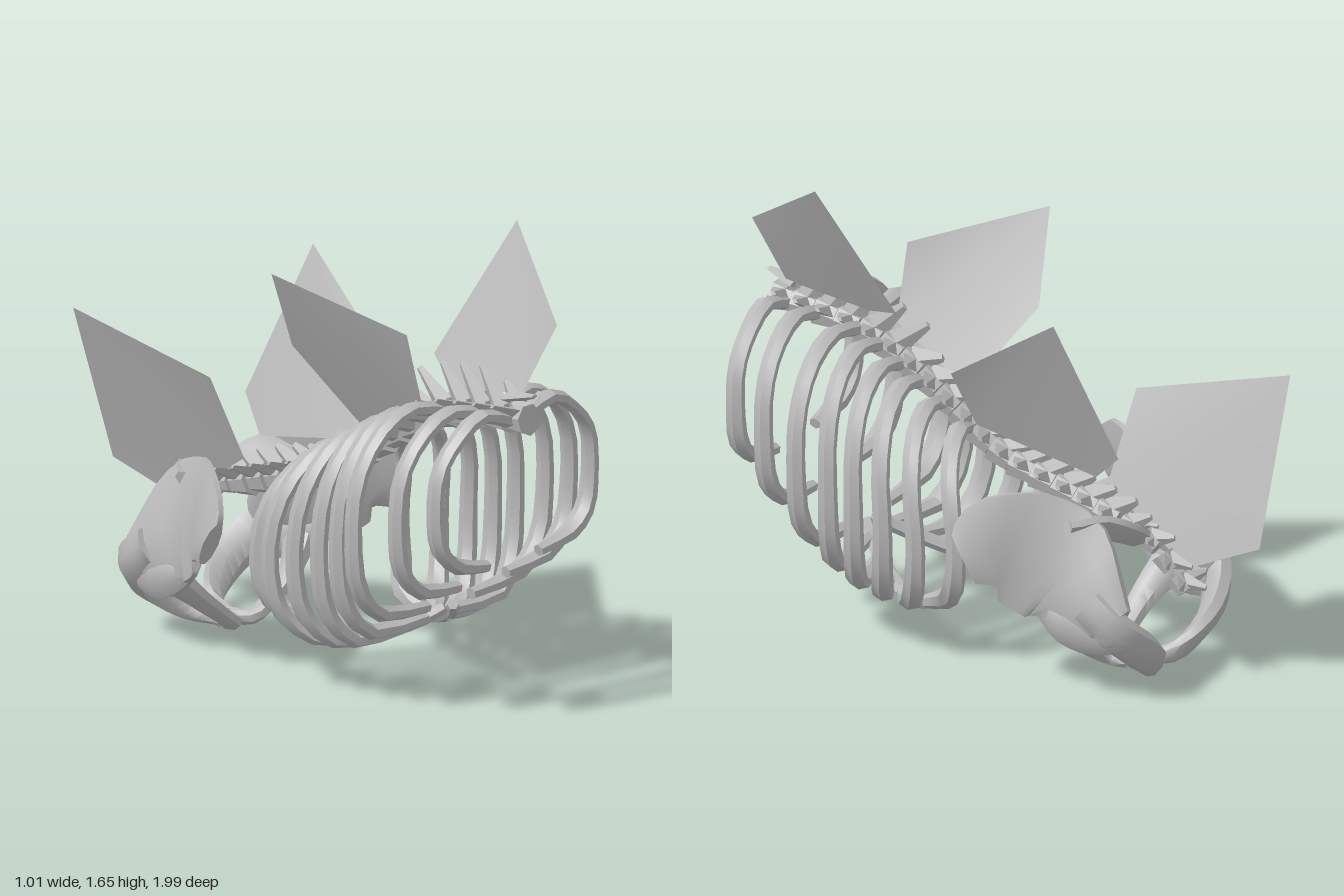
import * as THREE from 'three';
import { toCreasedNormals } from 'three/addons/utils/BufferGeometryUtils.js';

const V = (a) => new THREE.Vector3(...a);
const mix = THREE.MathUtils.lerp;

const bone = new THREE.MeshStandardMaterial({ color: 0xb8b8b8, side: THREE.DoubleSide });
bone.name = 'bone grey';

function add(parent, name, geometry) {
  const mesh = new THREE.Mesh(geometry, bone);
  mesh.name = name;
  parent.add(mesh);
  return mesh;
}

// value of a short list at t in 0..1
function sample(list, t) {
  const f = t * (list.length - 1), i = Math.min(Math.floor(f), list.length - 2);
  return mix(list[i], list[i + 1], f - i);
}

// Sweep an oval along a smooth path: ref sets the wide direction
function sweep(points, ref, widths, thicks, steps, sides, crease) {
  const curve = new THREE.CatmullRomCurve3(points.map(V), false, 'centripetal');
  const pos = [], index = [];
  for (let i = 0; i <= steps; i++) {
    const t = i / steps, p = curve.getPoint(t), tan = curve.getTangent(t);
    const wide = V(ref).addScaledVector(tan, -V(ref).dot(tan)).normalize();
    const thin = tan.clone().cross(wide);
    for (let j = 0; j < sides; j++) {
      const a = ((j + 0.5) / sides) * Math.PI * 2;
      const q = p.clone().addScaledVector(wide, Math.cos(a) * sample(widths, t))
        .addScaledVector(thin, Math.sin(a) * sample(thicks, t));
      pos.push(q.x, q.y, q.z);
      if (i < steps) {
        const k = i * sides, n = (j + 1) % sides;
        index.push(k + j, k + n, k + sides + j, k + n, k + sides + n, k + sides + j);
      }
    }
  }
  const last = steps * sides;
  for (let j = 1; j < sides - 1; j++) index.push(0, j + 1, j, last, last + j, last + j + 1);
  const g = new THREE.BufferGeometry();
  g.setAttribute('position', new THREE.Float32BufferAttribute(pos, 3));
  g.setIndex(index);
  return toCreasedNormals(g, crease);
}

const flip = (points, s) => points.map(([x, y, z]) => [x * s, y, z]);

// Ribs: head z, head y, half width, bottom y, side z, then the end point x, y, z
const RIBS = [
  [0.90, 1.07, 0.395, 0.57, 0.88, 0.13, 0.55, 0.88],
  [0.77, 1.06, 0.44, 0.45, 0.735, 0.12, 0.44, 0.73],
  [0.60, 1.04, 0.49, 0.34, 0.57, 0.11, 0.33, 0.57],
  [0.51, 1.00, 0.455, 0.25, 0.46, 0.06, 0.275, 0.53],
  [0.42, 0.95, 0.445, 0.20, 0.36, 0.11, 0.23, 0.46],
  [0.34, 0.90, 0.445, 0.18, 0.24, 0.17, 0.19, 0.38],
  [0.25, 0.84, 0.435, 0.17, 0.11, 0.21, 0.175, 0.30],
  [0.14, 0.77, 0.365, 0.19, -0.015, 0.24, 0.165, 0.20],
];

function buildRibs() {
  const group = new THREE.Group();
  group.name = 'ribCage';
  for (const s of [1, -1]) {
    const side = s > 0 ? 'Left' : 'Right';
    RIBS.forEach(([z0, y0, w, yb, zm, xe, ye, ze], i) => {
      const h = y0 - yb;
      const path = [
        [0.04, y0, z0],
        [w * 0.45, y0 + 0.04, mix(z0, zm, 0.25)],
        [w * 0.75, y0 - 0.03, mix(z0, zm, 0.5)],
        [w * 0.94, y0 - h * 0.25, mix(z0, zm, 0.8)],
        [w * 0.98, y0 - h * 0.55, zm],
        [w * 0.92, yb + h * 0.18, mix(zm, ze, 0.12)],
        [w * 0.72, yb + h * 0.03, mix(zm, ze, 0.5)],
        [xe, ye, ze],
      ];
      add(group, `rib${i + 1}${side}`, sweep(flip(path, s), [0, 0, 1],
        [0.03, 0.038, 0.036, 0.036, 0.038, 0.042, 0.042, 0.024],
        [0.028, 0.026, 0.022, 0.021, 0.022, 0.026, 0.03, 0.022], 15, 6, 0.5));
    });
    // lower border that joins the last ribs to the breastbone point
    add(group, 'ribBorder' + side, sweep(flip([
      [0.25, 0.165, 0.18], [0.2, 0.17, 0.31], [0.13, 0.22, 0.43], [0.07, 0.27, 0.52], [0.02, 0.31, 0.57],
    ], s), [0, 1, 0], [0.022, 0.025, 0.025, 0.025, 0.02], [0.025, 0.028, 0.028, 0.028, 0.02], 8, 6, 0.5));
  }
  return group;
}

// Spine: one vertebra repeated along a falling curve
function buildSpine() {
  const group = new THREE.Group();
  group.name = 'spine';
  const curve = new THREE.CatmullRomCurve3([
    [0, 1.07, 0.92], [0, 1.05, 0.75], [0, 1.02, 0.58], [0, 0.94, 0.4], [0, 0.81, 0.2], [0, 0.68, 0],
    [0, 0.62, -0.2], [0, 0.56, -0.4], [0, 0.49, -0.6], [0, 0.36, -0.72],
  ].map(V));
  const body = toCreasedNormals(new THREE.CylinderGeometry(0.058, 0.045, 0.085, 7).rotateX(Math.PI / 2), 0.5);
  const spike = toCreasedNormals(new THREE.CylinderGeometry(0.3, 1, 1, 4).translate(0, 0.5, 0), 0.4);
  const count = 21;
  for (let i = 0; i < count; i++) {
    const t = i / (count - 1), dir = curve.getTangentAt(t);
    const vertebra = new THREE.Group();
    vertebra.name = `vertebra${i + 1}`;
    vertebra.position.copy(curve.getPointAt(t));
    vertebra.rotation.x = Math.atan2(dir.y, -dir.z);
    vertebra.scale.setScalar(t > 0.8 ? 0.75 : 1);
    group.add(vertebra);
    add(vertebra, 'vertebraBody', body);
    // neural spine leans to the rear
    const fin = add(vertebra, 'neuralSpine', spike);
    fin.scale.set(0.026, i > 0 && i < 6 ? 0.17 : 0.12, 0.05);
    fin.position.y = 0.025;
    fin.rotation.x = i < 6 ? -0.5 : -0.8;
    // side processes
    for (const s of [1, -1]) {
      const wing = add(vertebra, 'sideProcess', spike);
      wing.scale.set(0.024, 0.11, 0.045);
      wing.position.set(0.02 * s, 0.02, 0);
      wing.rotation.set(-0.35, 0, -1.1 * s);
    }
  }
  // forward tip of the first vertebra
  const tip = add(group, 'frontProcess', spike);
  tip.scale.set(0.05, 0.12, 0.025);
  tip.position.set(0, 1.14, 0.87);
  tip.rotation.x = 1.35;
  return group;
}

// Pelvis: broad wing, socket and a loop that closes below
function buildPelvis() {
  const group = new THREE.Group();
  group.name = 'pelvis';
  for (const s of [1, -1]) {
    const side = s > 0 ? 'Left' : 'Right';
    add(group, 'hipWing' + side, sweep(flip([
      [0.48, 0.49, -0.125], [0.43, 0.535, -0.2], [0.36, 0.52, -0.3],
      [0.31, 0.47, -0.42], [0.31, 0.38, -0.54], [0.32, 0.3, -0.65],
    ], s), [-0.3 * s, 1, -0.12], [0.1, 0.185, 0.225, 0.235, 0.16, 0.08],
    [0.028, 0.032, 0.03, 0.038, 0.052, 0.045], 14, 10, 0.9));
    add(group, 'sacralWing' + side, sweep(flip([
      [0.27, 0.6, -0.42], [0.2, 0.6, -0.48], [0.12, 0.56, -0.54], [0.03, 0.51, -0.56],
    ], s), [0, 0.5, -1], [0.07, 0.085, 0.085, 0.06], [0.03, 0.03, 0.03, 0.03], 7, 8, 0.9));
    add(group, 'hipSocket' + side, sweep(flip([
      [0.34, 0.32, -0.37], [0.34, 0.28, -0.45], [0.32, 0.25, -0.54], [0.3, 0.26, -0.66],
    ], s), [0, 1, 0], [0.05, 0.08, 0.085, 0.07], [0.03, 0.05, 0.05, 0.04], 8, 8, 0.9));
    add(group, 'rearLoop' + side, sweep(flip([
      [0.34, 0.36, -0.55], [0.33, 0.28, -0.65], [0.24, 0.19, -0.7],
      [0.14, 0.11, -0.69], [0.06, 0.05, -0.63], [0.025, 0.035, -0.52],
    ], s), [0, 1, -0.6], [0.08, 0.08, 0.075, 0.06, 0.04, 0.028],
    [0.05, 0.05, 0.045, 0.035, 0.03, 0.024], 14, 7, 0.8));
    add(group, 'frontLoop' + side, sweep(flip([
      [0.32, 0.26, -0.47], [0.24, 0.18, -0.43], [0.13, 0.095, -0.42],
      [0.05, 0.04, -0.44], [0.025, 0.035, -0.54],
    ], s), [0, 0.3, 1], [0.075, 0.055, 0.04, 0.035, 0.028], [0.05, 0.035, 0.03, 0.028, 0.024], 12, 7, 0.8));
  }
  return group;
}

// Back plates: tip, front corner, front base, rear base, rear corner
const PLATES = [
  [[0.31, 1.66, 0.6], [0.115, 1.4, 0.985], [0.025, 1.15, 0.9], [0.02, 1.11, 0.56], [0.11, 1.17, 0.39]],
  [[-0.355, 1.49, 0.05], [-0.15, 1.32, 0.51], [-0.065, 1.05, 0.5], [-0.03, 0.88, 0.19], [-0.19, 1.18, -0.01]],
  [[0.29, 1.365, -0.375], [0.18, 1.03, 0.12], [0.06, 0.8, 0.09], [0.05, 0.71, -0.4], [0.11, 0.83, -0.53]],
  [[-0.27, 1.12, -1], [-0.18, 0.97, -0.42], [-0.04, 0.65, -0.39], [-0.005, 0.42, -0.74], [-0.07, 0.53, -1]],
];

function buildPlates() {
  const group = new THREE.Group();
  group.name = 'backPlates';
  PLATES.forEach((corners, i) => {
    const g = new THREE.BufferGeometry().setFromPoints(corners.map(V));
    g.setIndex(i % 2 ? [0, 2, 1, 0, 3, 2, 0, 4, 3] : [0, 1, 2, 0, 2, 3, 0, 3, 4]);
    g.computeVertexNormals();
    add(group, `backPlate${i + 1}`, g);
  });
  return group;
}

export function createModel() {
  const model = new THREE.Group();
  model.name = 'torsoSkeleton';
  model.add(buildRibs(), buildSpine(), buildPelvis(), buildPlates());
  return model;
}
